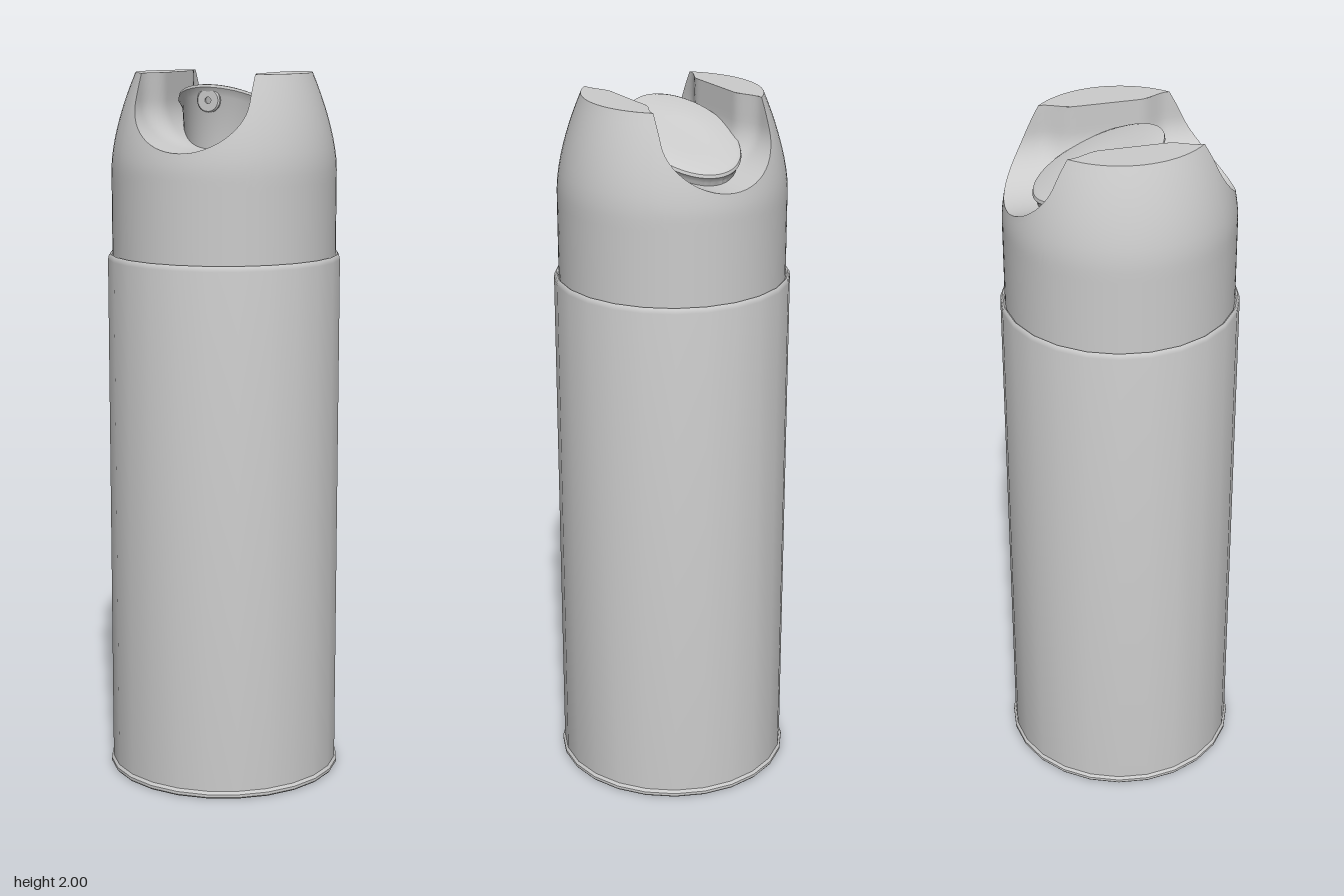
import * as THREE from 'three';
import { toCreasedNormals } from 'three/addons/utils/BufferGeometryUtils.js';

const material = new THREE.MeshStandardMaterial({ color: 0xcccccc, side: THREE.DoubleSide });
const TOP = 2, BASE = 1.47;

// Surface through rows of points; columns run across each row
function loft(rows) {
  const n = rows[0].length, index = [];
  for (let i = 0; i < rows.length - 1; i++) {
    for (let j = 0; j < n - 1; j++) {
      const a = i * n + j, b = a + 1, c = b + n, d = a + n;
      index.push(a, b, c, a, c, d);
    }
  }
  const g = new THREE.BufferGeometry();
  g.setAttribute('position', new THREE.Float32BufferAttribute(rows.flat(2), 3));
  g.setIndex(index);
  return g;
}

function part(name, geometry, crease = 0.6) {
  const mesh = new THREE.Mesh(toCreasedNormals(geometry, crease), material);
  mesh.name = name;
  return mesh;
}

// Cap radius at a height: straight skirt, then a dome
const capRadius = y => 0.314 - 0.069 * Math.pow(Math.max(0, (y - 1.74) / 0.26), 1.6);
// Half width of the finger channel, flared at both ends
const channelWidth = z => 0.137 + 0.03 * THREE.MathUtils.smoothstep(Math.abs(z), 0.09, 0.175);

// U-shaped channel section as [share of half width, height], from -x to +x
function channelSection() {
  const pts = [], mid = 1.925, depth = 0.13;
  for (let k = 0; k < 4; k++) pts.push([-1, TOP + (mid - TOP) * k / 4]);
  for (let k = 0; k <= 28; k++) {
    const a = Math.PI * k / 28;
    pts.push([-Math.cos(a), mid - depth * Math.sin(a)]);
  }
  for (let k = 1; k <= 4; k++) pts.push([1, mid + (TOP - mid) * k / 4]);
  return pts;
}

function makeCap() {
  const cap = new THREE.Group();
  cap.name = 'cap';
  const section = channelSection();
  const endZ = (s, y) => Math.sqrt(capRadius(y) ** 2 - (s * 0.167) ** 2);

  // Rim as [angle, height]: front notch, left ear, back notch, right ear
  const notch = section.map(([s, y]) => [Math.atan2(s * 0.167, endZ(s, y)), y]);
  const corner = notch[notch.length - 1][0], earAngles = [];
  for (let k = 0; k <= 20; k++) earAngles.push(corner + (Math.PI - 2 * corner) * k / 20);
  const half = [...notch, ...earAngles.slice(1, -1).map(a => [a, TOP])];
  const rim = [...half, ...half.map(([a, y]) => [a + Math.PI, y])];
  rim.push([rim[0][0] + 2 * Math.PI, rim[0][1]]);

  // Outer shell, from the skirt up to the rim
  const shell = [];
  for (let i = 0; i <= 18; i++) {
    shell.push(rim.map(([a, top]) => {
      const y = BASE + (top - BASE) * i / 18, r = capRadius(y);
      return [r * Math.sin(a), y, r * Math.cos(a)];
    }));
  }
  cap.add(part('capShell', loft(shell)));

  // Channel running from back to front
  const channel = section.map(([s, y]) => {
    const e = endZ(s, y), row = [];
    for (let j = 0; j <= 32; j++) {
      const z = e * (j / 16 - 1);
      row.push([s * channelWidth(z), y, z]);
    }
    return row;
  });
  cap.add(part('fingerChannel', loft(channel)));

  // Flat tops of the two ears
  const r = capRadius(TOP);
  const zs = earAngles.map(a => r * Math.cos(a)).reverse();
  const inner = side => zs.map(z => [side * channelWidth(z), TOP, z]);
  const outer = side => zs.map(z => [side * Math.sqrt(r * r - z * z), TOP, z]);
  cap.add(part('leftEarTop', loft([inner(1), outer(1)])));
  cap.add(part('rightEarTop', loft([outer(-1), inner(-1)])));
  return cap;
}

function makeButton() {
  const group = new THREE.Group();
  group.name = 'sprayButton';
  const cz = -0.058;
  // Top slopes down toward the back
  const slope = z => 1.83 + (z + 0.235) * 0.41;
  const ring = (rx, rz, height) => {
    const row = [];
    for (let j = 0; j <= 48; j++) {
      const a = 2 * Math.PI * j / 48, z = cz + rz * Math.cos(a);
      row.push([rx * Math.sin(a), height(z), z]);
    }
    return row;
  };
  group.add(part('buttonBody', loft([
    ring(0.125, 0.16, () => 1.76),
    ring(0.134, 0.165, z => slope(z) - 0.03),
    ring(0.145, 0.176, z => slope(z) - 0.012),
    ring(0.143, 0.174, z => slope(z) - 0.004),
    ring(0.133, 0.165, slope),
    ring(0.06, 0.075, z => slope(z) - 0.003),
    ring(0, 0, z => slope(z) - 0.004),
  ])));

  // Nozzle: a round boss with a small hole
  const profile = [[0.034, 0], [0.034, 0.02], [0.03, 0.024], [0.009, 0.024], [0.009, 0.012], [0, 0.012]];
  const nozzle = part('nozzle', new THREE.LatheGeometry(profile.map(p => new THREE.Vector2(...p)), 24));
  nozzle.rotation.x = Math.PI / 2;
  nozzle.position.set(0, 1.927, 0.088);
  group.add(nozzle);
  return group;
}

export function createModel() {
  const model = new THREE.Group();
  model.name = 'sprayCan';

  // Can with a rolled bottom rim and rounded shoulder
  const profile = [
    [0, 0], [0.33, 0], [0.333, 0.004], [0.333, 0.012], [0.327, 0.02],
    [0.327, 1.485], [0.325, 1.495], [0.321, 1.5], [0.317, 1.497], [0.313, 1.485], [0.3, 1.48],
  ];
  model.add(part('canBody', new THREE.LatheGeometry(profile.map(p => new THREE.Vector2(...p)), 24)));
  model.add(makeCap(), makeButton());
  return model;
}
